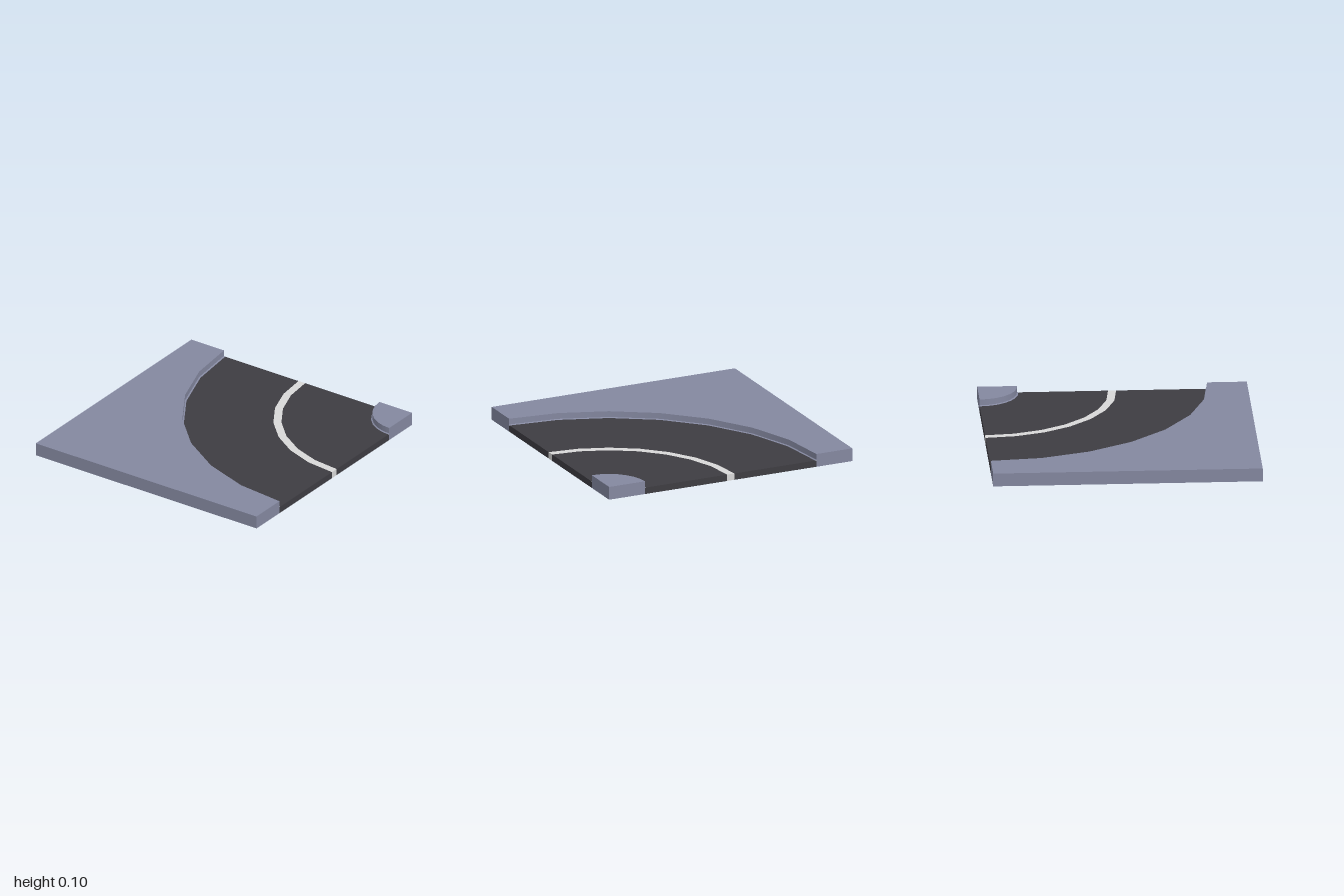
import * as THREE from 'three';

const SEG = 7, TOP = 0.1, ROAD = 0.05, LIP = 0.055;
const R_IN = 0.295, R_ROAD_IN = 0.305, R_LINE_IN = 0.97, R_LINE_OUT = 1.03, R_ROAD_OUT = 1.695, R_OUT = 1.705;

const mat = (name, color) => {
  const m = new THREE.MeshStandardMaterial({ color, side: THREE.DoubleSide });
  m.name = name;
  return m;
};

export function createModel() {
  const paving = mat('paving', 0x8488a0);
  const asphalt = mat('asphalt', 0x3e3d42);
  const paint = mat('paint', 0xd8d8d8);
  const model = new THREE.Group();
  model.name = 'roadCorner';

  const add = (name, geometry, material) => {
    const mesh = new THREE.Mesh(geometry, material);
    mesh.name = name;
    model.add(mesh);
    return mesh;
  };

  // quarter ring swept around the corner (1, 1) from one profile segment
  const sweep = (name, r0, y0, r1, y1, material) => {
    const profile = [new THREE.Vector2(r0, y0), new THREE.Vector2(r1, y1)];
    const g = new THREE.LatheGeometry(profile, SEG, Math.PI, Math.PI / 2);
    add(name, g.translate(1, 0, 1), material);
  };

  // upright wall facing outward on one side of the tile, spanning a..b along it
  const wall = (name, side, a, b, height, material) => {
    const g = new THREE.PlaneGeometry(b - a, height);
    const mid = (a + b) / 2;
    if (side === 'front') g.translate(mid, height / 2, 1);
    if (side === 'back') g.rotateY(Math.PI).translate(mid, height / 2, -1);
    if (side === 'right') g.rotateY(Math.PI / 2).translate(1, height / 2, mid);
    if (side === 'left') g.rotateY(-Math.PI / 2).translate(-1, height / 2, mid);
    add(name, g, material);
  };

  // road surface and centre line
  sweep('outerLane', R_ROAD_OUT, ROAD, R_LINE_OUT, ROAD, asphalt);
  sweep('centreLine', R_LINE_OUT, ROAD, R_LINE_IN, ROAD, paint);
  sweep('innerLane', R_LINE_IN, ROAD, R_ROAD_IN, ROAD, asphalt);

  // curbs with a small flare at the foot
  sweep('outerCurb', R_OUT, TOP, R_OUT, LIP, paving);
  sweep('outerCurbFoot', R_OUT, LIP, R_ROAD_OUT, ROAD, paving);
  sweep('innerCurb', R_IN, LIP, R_IN, TOP, paving);
  sweep('innerCurbFoot', R_ROAD_IN, ROAD, R_IN, LIP, paving);

  // outer pavement: the square tile minus the road's quarter disc
  const outline = [new THREE.Vector2(-1, -1), new THREE.Vector2(1 - R_OUT, -1)];
  for (let i = 1; i <= SEG; i++) {
    const a = (i / SEG) * Math.PI / 2;
    outline.push(new THREE.Vector2(1 - R_OUT * Math.cos(a), -1 + R_OUT * Math.sin(a)));
  }
  outline.push(new THREE.Vector2(1, 1), new THREE.Vector2(-1, 1));
  const pavement = new THREE.ShapeGeometry(new THREE.Shape(outline));
  add('outerPavement', pavement.rotateX(-Math.PI / 2).translate(0, TOP, 0), paving);

  // inner pavement corner
  const corner = new THREE.CircleGeometry(R_IN, SEG, Math.PI / 2, Math.PI / 2);
  add('innerPavement', corner.rotateX(-Math.PI / 2).translate(1, TOP, 1), paving);

  // outside walls; the underside stays open
  wall('backWall', 'back', -1, 1, TOP, paving);
  wall('leftWall', 'left', -1, 1, TOP, paving);
  for (const side of ['front', 'right']) {
    wall(side + 'OuterPavementEnd', side, -1, 1 - R_OUT, TOP, paving);
    wall(side + 'InnerPavementEnd', side, 1 - R_IN, 1, TOP, paving);
    wall(side + 'OuterLaneEnd', side, 1 - R_OUT, 1 - R_LINE_OUT, ROAD, asphalt);
    wall(side + 'CentreLineEnd', side, 1 - R_LINE_OUT, 1 - R_LINE_IN, ROAD, paint);
    wall(side + 'InnerLaneEnd', side, 1 - R_LINE_IN, 1 - R_IN, ROAD, asphalt);
  }
  return model;
}
